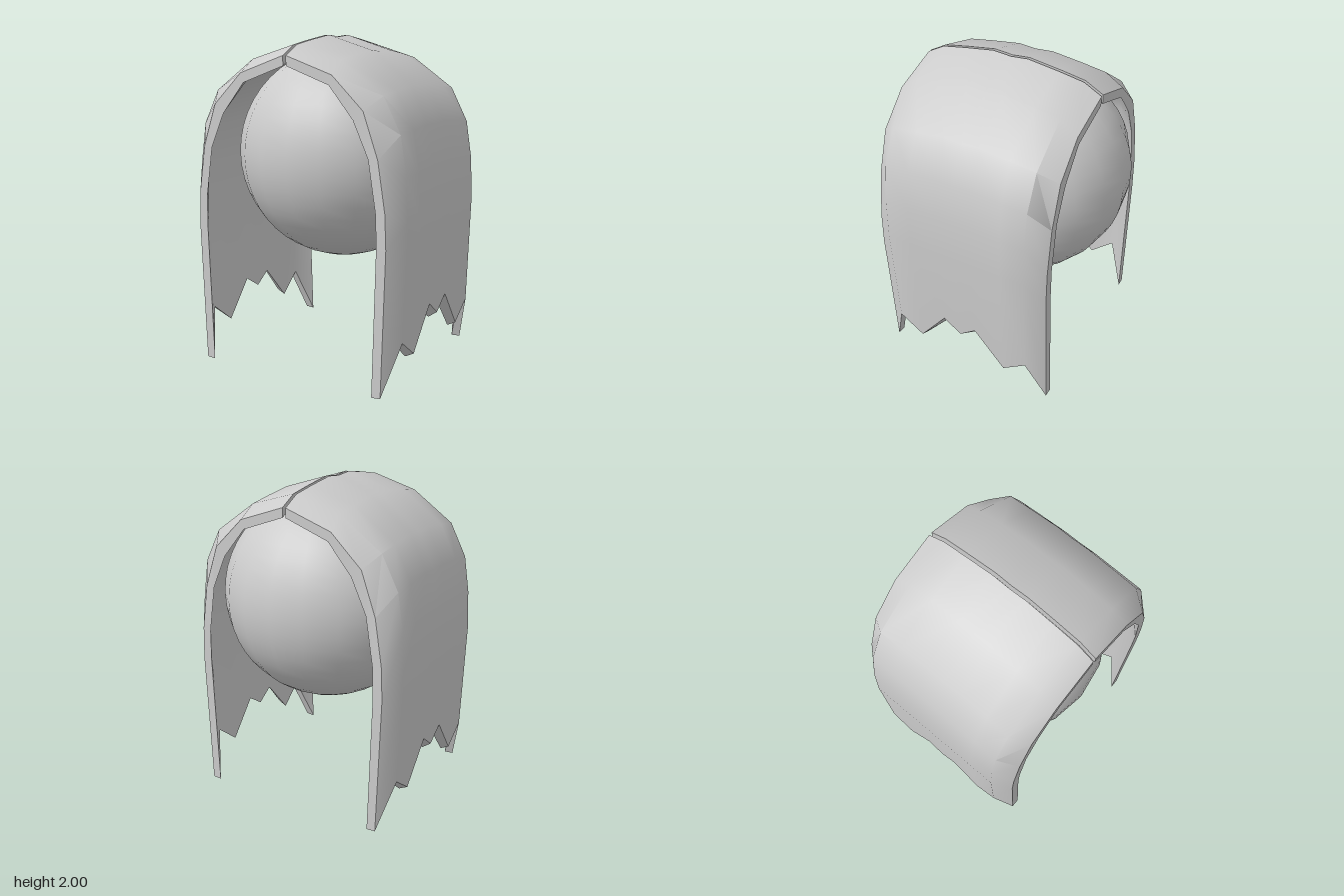
import * as THREE from 'three';
import { toCreasedNormals } from 'three/addons/utils/BufferGeometryUtils.js';

// Half cross-sections [x, y], from the parting down to the hem
const MID_OUT = [[0.01, 2.0], [0.297, 1.912], [0.562, 1.715], [0.667, 1.5], [0.703, 1.26], [0.715, 0.995], [0.69, 0.2]];
const MID_IN = [[0.01, 1.942], [0.278, 1.858], [0.515, 1.675], [0.61, 1.48], [0.645, 1.25], [0.658, 0.99], [0.636, 0.2]];
const END_OUT = [[0.01, 1.885], [0.305, 1.785], [0.498, 1.6], [0.588, 1.345], [0.633, 1.06], [0.641, 0.86], [0.614, 0.01]];
const END_IN = [[0.01, 1.828], [0.286, 1.73], [0.436, 1.55], [0.53, 1.345], [0.577, 1.05], [0.582, 0.86], [0.558, 0.01]];

// Stations from front to back: z, crown drop, outer hem height, inner hem height
const STATIONS = [
  [0.655, 0, 0.008, 0.004],
  [0.545, 0.055, 0.313, 0.3],
  [0.39, 0.028, 0.2, 0.172],
  [0.2, 0, 0.445, 0.395],
  [0.085, 0.01, 0.36, 0.32],
  [-0.025, 0, 0.445, 0.395],
  [-0.22, 0.028, 0.2, 0.172],
  [-0.375, 0.055, 0.313, 0.3],
  [-0.485, 0, 0.008, 0.004],
];

// Places one profile at a station, ending it on the ragged hem
function section(profile, z, drop, hem) {
  const last = profile.length - 1;
  return profile.map(([x, y], j) => {
    if (j < last) return [x, y - drop * Math.max(0, y - 1), z];
    const [px, py] = profile[last - 1];
    return [px + (x - px) * (py - hem) / (py - y), hem, z];
  });
}

// One thick half of the shell: closed loops joined along z, capped at both ends
function halfShell(side) {
  const rows = MID_OUT.length, ring = rows * 2, end = STATIONS.length - 1;
  const positions = [], index = [];
  STATIONS.forEach(([z, drop, hemOut, hemIn], i) => {
    const isEnd = i === 0 || i === end;
    const outer = section(isEnd ? END_OUT : MID_OUT, z, drop, hemOut);
    const inner = section(isEnd ? END_IN : MID_IN, z, drop, hemIn);
    for (const [x, y, pz] of [...outer, ...inner.reverse()]) positions.push(x * side, y, pz);
  });
  const quad = (a, b, c, d) =>
    side > 0 ? index.push(a, b, c, a, c, d) : index.push(a, c, b, a, d, c);
  for (let i = 0; i < end; i++) {
    for (let j = 0; j < ring; j++) {
      const k = (j + 1) % ring;
      quad(i * ring + j, i * ring + k, (i + 1) * ring + k, (i + 1) * ring + j);
    }
  }
  for (let j = 0; j < rows - 1; j++) {
    const o = j, n = ring - 1 - j, b = end * ring;
    quad(o, n, n - 1, o + 1);
    quad(b + o, b + o + 1, b + n - 1, b + n);
  }
  const geometry = new THREE.BufferGeometry();
  geometry.setAttribute('position', new THREE.Float32BufferAttribute(positions, 3));
  geometry.setIndex(index);
  return toCreasedNormals(geometry, 0.75);
}

export function createModel() {
  const group = new THREE.Group();
  group.name = 'hoodedSphere';
  const material = new THREE.MeshStandardMaterial({ color: 0xcccccc });
  const add = (name, geometry) => {
    const mesh = new THREE.Mesh(geometry, material);
    mesh.name = name;
    group.add(mesh);
    return mesh;
  };

  // Round head inside the hood
  add('head', new THREE.SphereGeometry(0.655, 20, 24)).position.y = 1.28;

  // Two draped halves with a narrow parting between them
  add('leftDrape', halfShell(1));
  add('rightDrape', halfShell(-1));
  return group;
}
